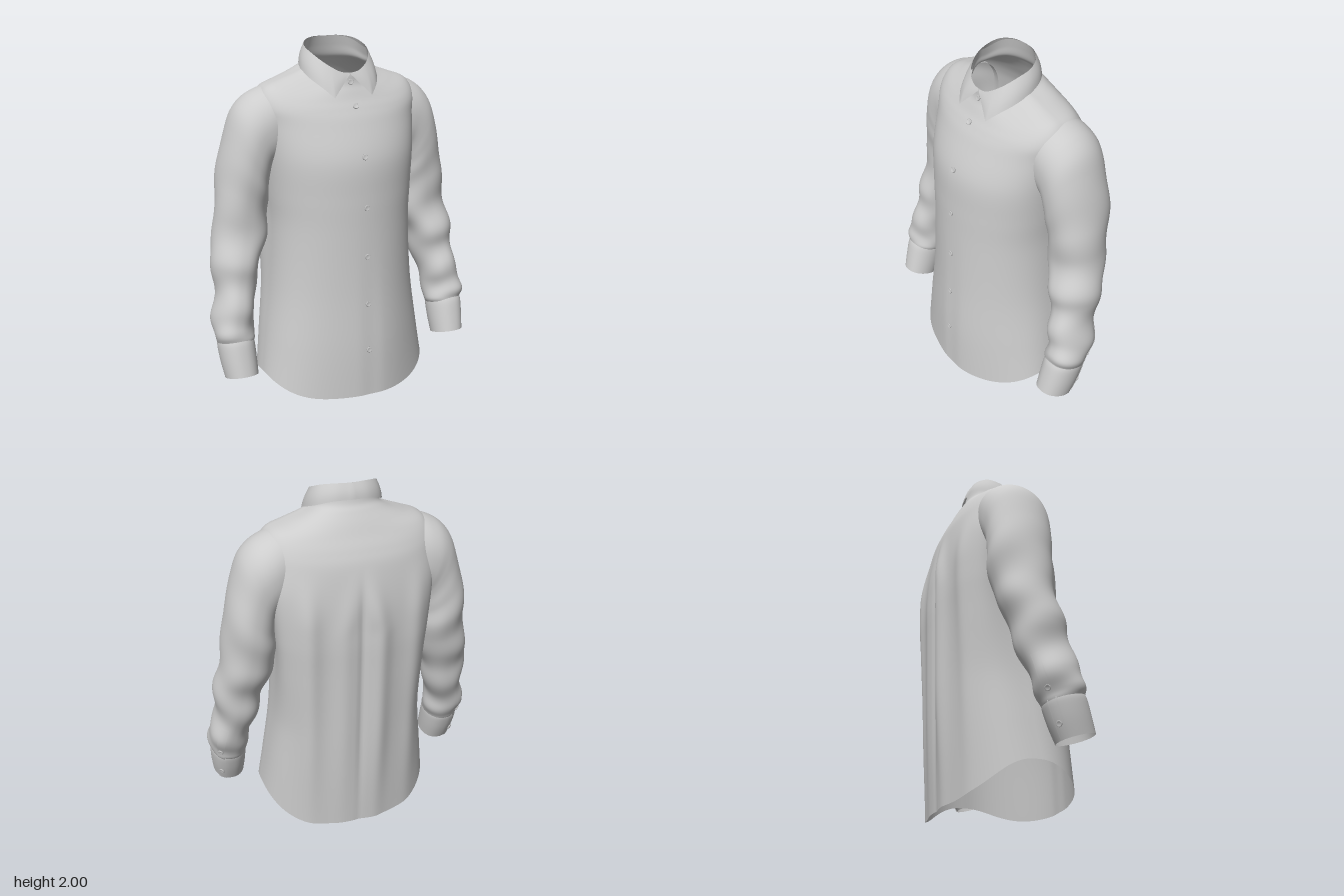
import * as THREE from 'three';
import { mergeVertices } from 'three/addons/utils/BufferGeometryUtils.js';

const TAU = Math.PI * 2;
const bell = (x, c, w) => Math.exp(-(((x - c) / w) ** 2));
const fade = (x, a, b) => THREE.MathUtils.smoothstep(x, a, b);

// Smoothly interpolates a table of section rows at v in 0..1
function section(rows, v) {
  const s = THREE.MathUtils.clamp(v, 0, 1) * (rows.length - 1);
  const i = Math.min(Math.floor(s), rows.length - 2), f = s - i;
  const at = k => rows[THREE.MathUtils.clamp(k, 0, rows.length - 1)];
  return rows[0].map((_, k) => {
    const [p, q, r, w] = [at(i - 1)[k], at(i)[k], at(i + 1)[k], at(i + 2)[k]];
    return q + 0.5 * f * (r - p + f * (2 * p - 5 * q + 4 * r - w + f * (3 * (q - r) + w - p)));
  });
}

// Grid surface from a point rule fn(u, v); seams are welded for smooth normals
function surface(fn, u0, u1, v0, v1, nu, nv) {
  const pos = [], idx = [];
  for (let j = 0; j <= nv; j++)
    for (let i = 0; i <= nu; i++)
      pos.push(...fn(u0 + (u1 - u0) * i / nu, v0 + (v1 - v0) * j / nv).toArray());
  for (let j = 0; j < nv; j++)
    for (let i = 0; i < nu; i++) {
      const a = j * (nu + 1) + i, b = a + 1, c = a + nu + 1, d = c + 1;
      idx.push(a, b, d, a, d, c);
    }
  let g = new THREE.BufferGeometry();
  g.setAttribute('position', new THREE.Float32BufferAttribute(pos, 3));
  g.setIndex(idx);
  g = mergeVertices(g, 1e-5);
  g.computeVertexNormals();
  return g;
}

function normalAt(fn, u, v) {
  const e = 0.004;
  const du = fn(u + e, v).sub(fn(u - e, v)), dv = fn(u, v + e).sub(fn(u, v - e));
  return du.cross(dv).normalize();
}
const raised = (fn, h) => (u, v) => fn(u, v).addScaledVector(normalAt(fn, u, v), h);

// Torso rings: half width, mid z, front z, back z, y at front, side and back,
// then how square the front and back are (smaller is squarer)
const BODY = [
  [0.495, 0.045, 0.387, -0.32, 0.07, 0.175, 0.0, 0.95, 0.7],
  [0.465, 0.02, 0.38, -0.335, 0.35, 0.38, 0.3, 0.95, 0.68],
  [0.425, 0.0, 0.36, -0.348, 0.67, 0.67, 0.65, 0.92, 0.6],
  [0.405, -0.01, 0.345, -0.358, 1.0, 1.0, 1.0, 0.88, 0.52],
  [0.415, -0.02, 0.336, -0.363, 1.2, 1.2, 1.2, 0.85, 0.48],
  [0.432, -0.03, 0.318, -0.356, 1.4, 1.4, 1.4, 0.82, 0.48],
  [0.448, -0.035, 0.25, -0.33, 1.58, 1.58, 1.59, 0.8, 0.52],
  [0.46, -0.04, 0.212, -0.3, 1.655, 1.69, 1.68, 0.8, 0.58],
  [0.42, -0.04, 0.185, -0.265, 1.7, 1.768, 1.75, 0.85, 0.65],
  [0.32, -0.035, 0.165, -0.235, 1.74, 1.808, 1.81, 0.9, 0.75],
  [0.235, -0.03, 0.15, -0.205, 1.77, 1.838, 1.86, 0.95, 0.85],
  [0.19, -0.025, 0.143, -0.182, 1.795, 1.862, 1.895, 0.95, 0.9],
  [0.182, -0.02, 0.14, -0.168, 1.82, 1.9, 1.95, 0.95, 0.9],
  [0.171, -0.015, 0.137, -0.157, 1.838, 1.945, 2.0, 0.95, 0.9],
];
function body(u, v) {
  const [rx, zc, zf, zb, yF, yS, yB, pF, pB] = section(BODY, v);
  const c = Math.cos(u), front = c > 0, k = Math.abs(c);
  let x = rx * Math.sin(u);
  const y = yS + ((front ? yF : yB) - yS) * fade(k, 0, 1);
  let z = front ? zc + (zf - zc) * k ** pF : zc + (zb - zc) * k ** pB;
  if (front) {
    // soft drape below the chest
    z += 0.007 * Math.sin(11 * x + 0.6) * fade(k, 0, 0.5) * (1 - fade(y, 0.3, 1.2)) * fade(Math.abs(x), 0, 0.1);
  } else {
    // fuller cloth behind the arms
    x *= 1 + 0.24 * k * Math.abs(Math.sin(u)) * fade(y, 0.6, 1.1) * (1 - fade(y, 1.45, 1.72));
    // hanging folds that fan out from the centre pleat
    const f = fade(k, 0, 0.4) * (1 - fade(y, 1.3, 1.62)) * (0.35 + 0.65 * fade(y, 0.0, 0.7));
    const fan = THREE.MathUtils.clamp((1.75 - y) / 0.5, 0.3, 1);
    z -= f * (0.028 * bell(x, -0.1 * fan, 0.055) + 0.012 * bell(x, 0.1 * fan, 0.055)
      + 0.026 * bell(x, 0.29, 0.06) + 0.02 * bell(x, -0.32, 0.06) - 0.012 * bell(x, 0, 0.02));
  }
  return new THREE.Vector3(x, y, z);
}

// Sleeve rings: outer x, y, inner x, y, mid z, half depth, forward tilt
const SLEEVE = [
  [0.32, 1.78, 0.34, 1.37, -0.07, 0.17, 0],
  [0.38, 1.776, 0.365, 1.35, -0.072, 0.182, 0],
  [0.45, 1.755, 0.385, 1.34, -0.075, 0.188, 0],
  [0.52, 1.716, 0.4, 1.32, -0.076, 0.188, 0],
  [0.578, 1.65, 0.405, 1.29, -0.073, 0.184, 0],
  [0.617, 1.55, 0.41, 1.25, -0.072, 0.181, 0],
  [0.652, 1.42, 0.41, 1.2, -0.078, 0.178, 0],
  [0.685, 1.25, 0.408, 1.12, -0.083, 0.172, 0],
  [0.703, 1.08, 0.425, 1.0, -0.068, 0.152, 0],
  [0.735, 0.93, 0.465, 0.88, -0.038, 0.147, 0],
  [0.74, 0.8, 0.5, 0.76, -0.02, 0.139, 0.01],
  [0.748, 0.68, 0.535, 0.64, 0.02, 0.133, 0.02],
  [0.772, 0.56, 0.555, 0.54, 0.04, 0.122, 0.025],
  [0.782, 0.475, 0.555, 0.46, 0.067, 0.118, 0.03],
  [0.762, 0.41, 0.573, 0.4, 0.085, 0.102, 0.03],
];
const CUFF = [
  [0.764, 0.43, 0.57, 0.42, 0.08, 0.105, 0.03],
  [0.768, 0.4, 0.567, 0.39, 0.09, 0.109, 0.03],
  [0.762, 0.32, 0.568, 0.315, 0.115, 0.106, 0.03],
  [0.75, 0.235, 0.572, 0.235, 0.145, 0.098, 0.03],
];
// side is +1 for left and -1 for right; wrinkles gather around the elbow
const tube = (rows, side, wrinkle) => (u, v) => {
  const [xo, yo, xi, yi, zc, d, tilt] = section(rows, v);
  const a = side * u, c = Math.cos(a), s = Math.sin(a);
  const wide = Math.sign(c) * Math.abs(c) ** 0.88;
  const w = wrinkle * fade(v, 0.3, 0.68) * (1 - fade(v, 0.95, 1));
  const r = 1 + w * (0.6 * Math.sin(46 * v + 1.8 * Math.sin(a + 0.5) + side * 0.5)
    + 0.5 * Math.sin(31 * v - 2.2 * Math.cos(a - 0.6) + 1) + 0.25 * Math.sin(3 * a + 12 * v));
  return new THREE.Vector3(
    side * ((xo + xi) / 2 + wide * r * (xo - xi) / 2),
    (yo + yi) / 2 + wide * (yo - yi) / 2 + s * tilt,
    zc + s * r * d);
};

// Collar leaf edges on the left half, centre front to centre back
const vec = p => new THREE.Vector3(...p);
const COLLAR_TOP = new THREE.CatmullRomCurve3([
  [0.003, 1.838, 0.141], [0.05, 1.846, 0.137], [0.1, 1.873, 0.118], [0.14, 1.905, 0.08], [0.168, 1.94, 0.02],
  [0.174, 1.965, -0.05], [0.147, 1.988, -0.105], [0.08, 2, -0.147], [0, 2, -0.16]].map(vec));
const COLLAR_FRONT = new THREE.LineCurve3(vec([0.003, 1.83, 0.146]), vec([0.11, 1.72, 0.188]));
const COLLAR_REAR = new THREE.CatmullRomCurve3([
  [0.11, 1.72, 0.188], [0.162, 1.772, 0.14], [0.2, 1.815, 0.065], [0.208, 1.853, -0.03],
  [0.175, 1.888, -0.12], [0.1, 1.915, -0.172], [0, 1.92, -0.19]].map(vec));
function collar(u, v) {
  const t = 1 - Math.abs(u);
  const low = t < 0.25 ? COLLAR_FRONT.getPoint(t * 4) : COLLAR_REAR.getPoint((t - 0.25) / 0.75);
  const p = low.lerp(COLLAR_TOP.getPoint(t), v);
  const swell = 1 + 0.03 * Math.sin(v * Math.PI) * fade(t, 0, 0.2);
  return new THREE.Vector3(-Math.sign(u) * p.x * swell, p.y, p.z * swell);
}

export function createModel() {
  const cloth = new THREE.MeshStandardMaterial({ color: 0xcccccc, side: THREE.DoubleSide });
  cloth.name = 'light grey cloth';

  const model = new THREE.Group();
  model.name = 'shirt';
  const add = (name, geometry, parent = model) => {
    const mesh = new THREE.Mesh(geometry, cloth);
    mesh.name = name;
    parent.add(mesh);
    return mesh;
  };

  // Small rimmed button seated on a surface
  const buttonShape = new THREE.LatheGeometry([[0.0001, -0.004], [0.015, -0.004], [0.016, 0.003], [0.013, 0.006],
    [0.01, 0.003], [0.0001, 0.003]].map(p => new THREE.Vector2(...p)), 20);
  const addButton = (name, fn, u, v, parent) => {
    const n = normalAt(fn, u, v), b = add(name, buttonShape, parent);
    b.position.copy(fn(u, v)).addScaledVector(n, 0.005);
    b.quaternion.setFromUnitVectors(new THREE.Vector3(0, 1, 0), n);
  };

  // Torso with collar stand
  add('torso', surface(body, 0, TAU, 0, 1, 200, 84));

  // Front placket, kept at even width down the front
  const placket = (x, v) => raised(body, 0.003)(Math.asin(x / section(BODY, v)[0]), v);
  add('frontPlacket', surface(placket, -0.035, 0.04, 0.001, 0.85, 6, 70));

  // Front buttons
  [1.79, 1.67, 1.42, 1.15, 0.88, 0.61, 0.345].forEach((y, i) => {
    let lo = 0, hi = 1;
    for (let k = 0; k < 30; k++) {
      const mid = (lo + hi) / 2;
      if (body(0, mid).y < y) lo = mid; else hi = mid;
    }
    addButton(`frontButton${i + 1}`, body, 0, lo, model);
  });

  // Folded collar leaf
  add('collar', surface(collar, -1, 1, 0, 1, 96, 8));

  // Sleeves with cuffs, sleeve plackets and buttons
  for (const side of [1, -1]) {
    const arm = new THREE.Group();
    arm.name = side > 0 ? 'leftSleeve' : 'rightSleeve';
    model.add(arm);
    const sleeve = tube(SLEEVE, side, 0.08), cuff = tube(CUFF, side, 0);
    add('sleeve', surface(sleeve, 0, TAU, 0, 1, 72, 140), arm);
    add('cuff', surface(cuff, 0, TAU, 0, 1, 56, 12), arm);
    const u = -side * 1.0;
    add('sleevePlacket', surface(raised(sleeve, 0.004), u - 0.2, u + 0.2, 0.8, 0.985, 6, 24), arm);
    add('cuffOverlap', surface(raised(cuff, 0.004), u - 0.25, u + 0.25, 0.03, 0.985, 6, 10), arm);
    addButton('placketButton', sleeve, u, 0.926, arm);
    addButton('cuffButton', cuff, u, 0.72, arm);
  }
  return model;
}
